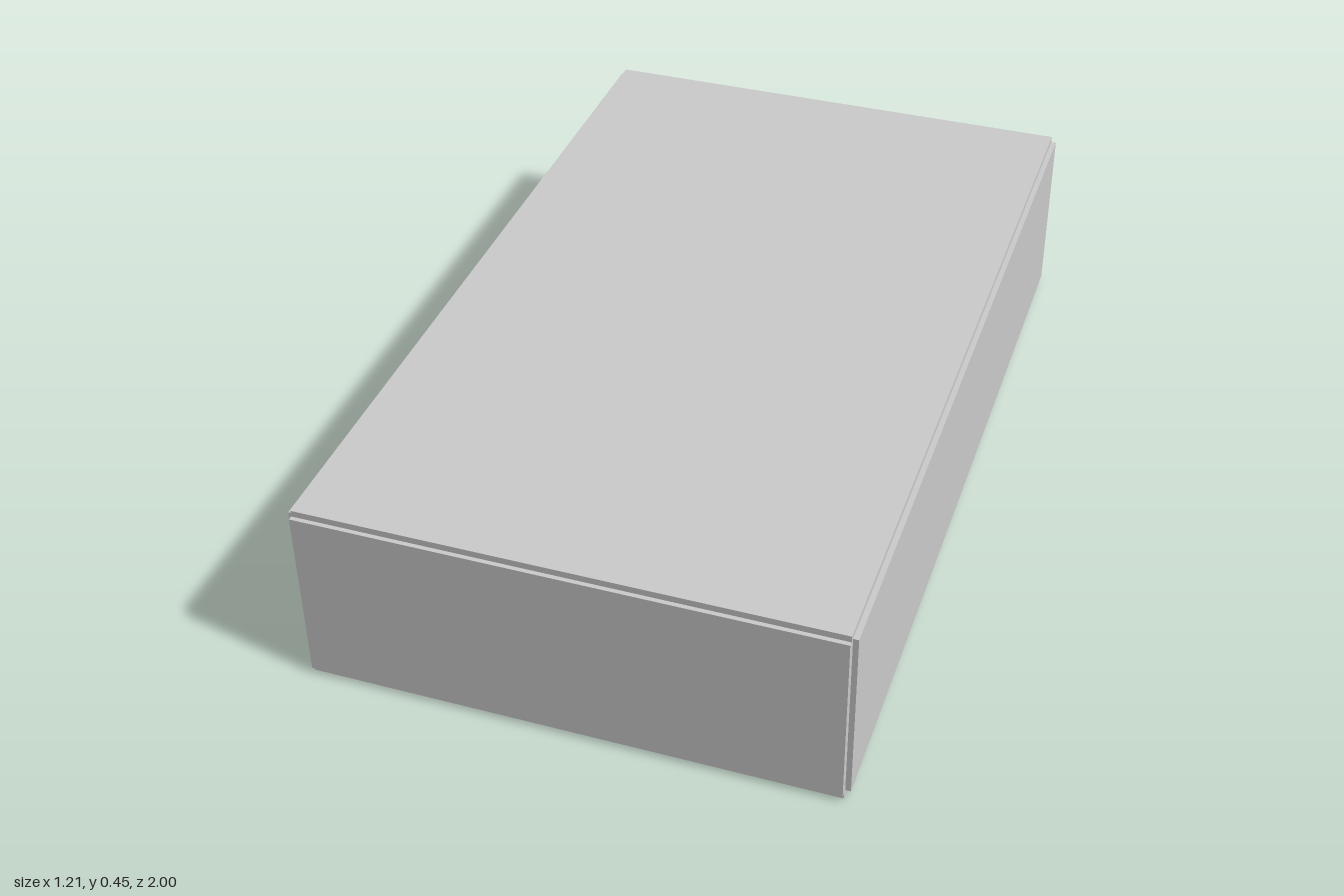
import * as THREE from 'three';

const material = new THREE.MeshStandardMaterial({ color: 0xcccccc, flatShading: true });

function add(parent, name, geometry, x = 0, y = 0, z = 0) {
  const mesh = new THREE.Mesh(geometry, material);
  mesh.name = name;
  mesh.position.set(x, y, z);
  parent.add(mesh);
  return mesh;
}

// Box given by its lower and upper corners
function block(parent, name, x0, x1, y0, y1, z0, z1) {
  return add(parent, name, new THREE.BoxGeometry(x1 - x0, y1 - y0, z1 - z0),
    (x0 + x1) / 2, (y0 + y1) / 2, (z0 + z1) / 2);
}

function group(parent, name) {
  const g = new THREE.Group();
  g.name = name;
  parent.add(g);
  return g;
}

// Hall shell, open at the back
function buildShell(root) {
  const shell = group(root, 'shell');
  block(shell, 'floorSlab', -0.595, 0.595, 0, 0.015, -1, 0.99);
  block(shell, 'roofSlab', -0.595, 0.595, 0.435, 0.45, -1, 0.99);
  block(shell, 'frontWall', -0.595, 0.595, 0.015, 0.435, 0.98, 1);
  block(shell, 'leftWall', 0.595, 0.607, 0.015, 0.435, -1, 0.98);
  block(shell, 'rightWall', -0.607, -0.595, 0.015, 0.435, -1, 0.98);
}

// Rough ground: a plane with small seeded bumps
function buildGround(root) {
  let seed = 7;
  const rand = () => (seed = (seed * 16807) % 2147483647) / 2147483647;
  const geometry = new THREE.PlaneGeometry(1.19, 1.93, 60, 96).rotateX(-Math.PI / 2);
  const p = geometry.attributes.position;
  for (let i = 0; i < p.count; i++) p.setY(i, rand() * 0.006);
  geometry.computeVertexNormals();
  add(root, 'roughGround', geometry, 0, 0.017, 0.01);
}

// Suspended ceiling tiles with open joints
function buildCeiling(root) {
  const ceiling = group(root, 'ceiling');
  const cols = 8, rows = 13, w = 1.18 / cols, d = 1.95 / rows;
  const tile = new THREE.BoxGeometry(w - 0.014, 0.008, d - 0.014);
  for (let i = 0; i < cols; i++) {
    for (let j = 0; j < rows; j++) {
      add(ceiling, 'ceilingTile', tile, -0.59 + (i + 0.5) * w, 0.429, -0.97 + (j + 0.5) * d);
    }
  }
}

// Partition with an arched gateway and panelled doors
function buildPartition(root) {
  const partition = group(root, 'partition');
  const shape = new THREE.Shape();
  shape.moveTo(-0.585, 0.015);
  shape.lineTo(-0.125, 0.015);
  shape.lineTo(-0.125, 0.095);
  shape.absarc(-0.015, 0.095, 0.11, Math.PI, 0, true);
  shape.lineTo(0.095, 0.015);
  shape.lineTo(0.585, 0.015);
  shape.lineTo(0.585, 0.262);
  shape.lineTo(-0.585, 0.262);
  shape.closePath();
  add(partition, 'archWall',
    new THREE.ExtrudeGeometry(shape, { depth: 0.06, bevelEnabled: false, curveSegments: 20 }), 0, 0, -0.86);

  // Door leaves with two raised panels each
  for (const x of [-0.245, -0.165, 0.165, 0.245]) {
    block(partition, 'door', x - 0.03, x + 0.03, 0.02, 0.145, -0.866, -0.858);
    for (const y of [0.035, 0.09]) {
      block(partition, 'doorPanel', x - 0.018, x + 0.018, y, y + 0.04, -0.87, -0.865);
    }
  }
  block(partition, 'noticeBoard', -0.35, -0.305, 0.075, 0.14, -0.866, -0.858);
  block(root, 'wallBoard', 0.589, 0.596, 0.15, 0.19, -0.97, -0.93);
}

// Pedestals and low rail in front of the gateway
function buildForecourt(root) {
  for (const x of [0.158, -0.19]) {
    const pedestal = group(root, 'pedestal');
    pedestal.position.set(x, 0, -0.94);
    add(pedestal, 'pedestalBase', new THREE.CylinderGeometry(0.025, 0.03, 0.025, 20), 0, 0.027, 0);
    add(pedestal, 'pedestalStem', new THREE.CylinderGeometry(0.02, 0.02, 0.06, 20), 0, 0.06, 0);
    add(pedestal, 'pedestalTop', new THREE.CylinderGeometry(0.03, 0.03, 0.012, 24), 0, 0.09, 0);
  }
  block(root, 'curb', -0.595, 0.595, 0.015, 0.024, -1, -0.985);
  const rail = new THREE.CylinderGeometry(0.004, 0.004, 1.19, 10).rotateZ(Math.PI / 2);
  add(root, 'lowRail', rail, 0, 0.04, -0.985);
}

export function createModel() {
  const root = new THREE.Group();
  root.name = 'hall';
  buildShell(root);
  buildGround(root);
  buildCeiling(root);
  buildPartition(root);
  buildForecourt(root);
  return root;
}
